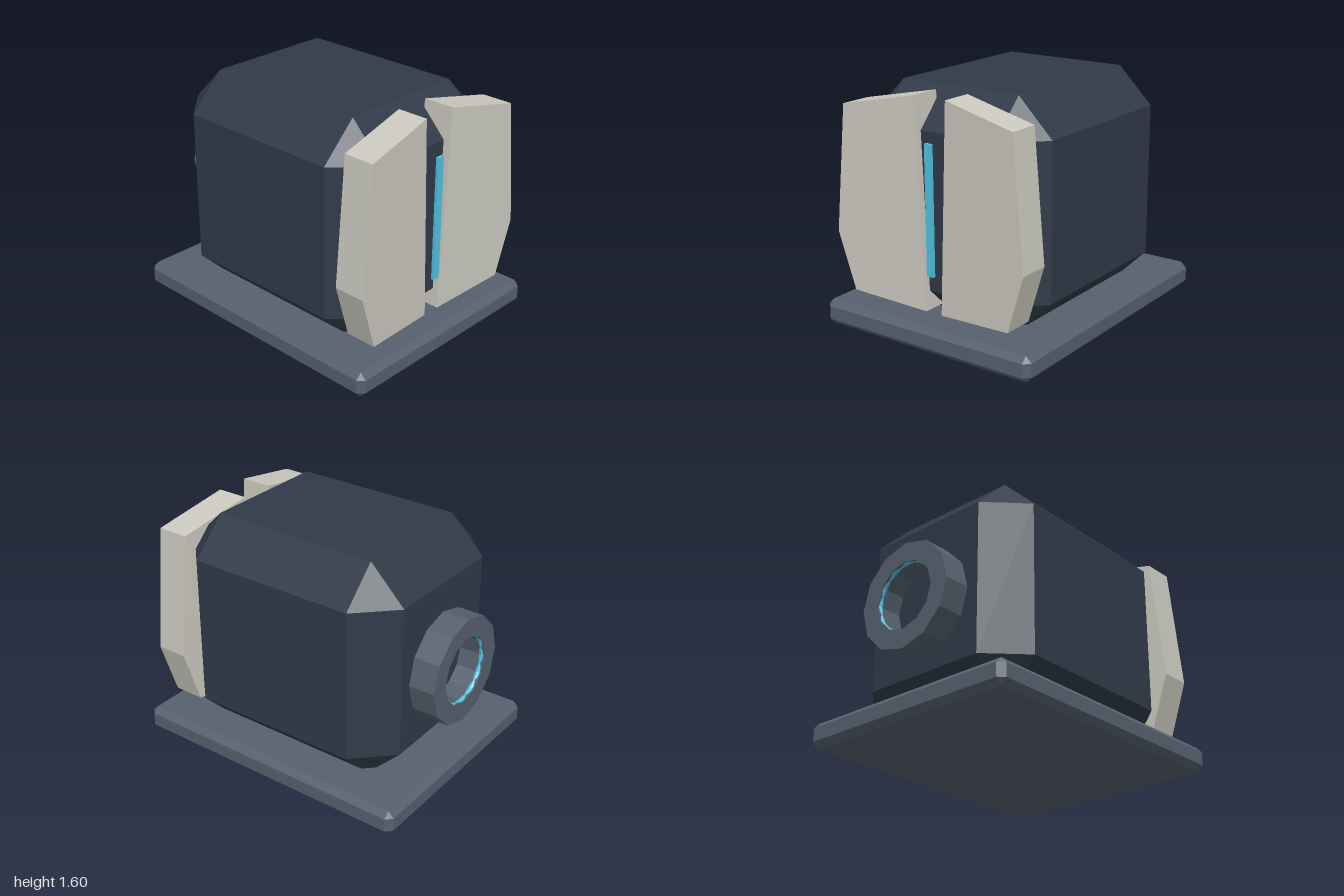
import * as THREE from 'three';
import { ConvexGeometry } from 'three/addons/geometries/ConvexGeometry.js';

const mat = (color) => new THREE.MeshStandardMaterial({ color, flatShading: true });

function addMesh(parent, name, geometry, material) {
  const mesh = new THREE.Mesh(geometry, material);
  mesh.name = name;
  parent.add(mesh);
  return mesh;
}

// Box with every edge cut at 45 degrees and triangular corners
function chamferBox(hx, hy, hz, c) {
  const points = [];
  for (const x of [-1, 1]) for (const y of [-1, 1]) for (const z of [-1, 1]) {
    points.push(
      new THREE.Vector3(x * hx, y * (hy - c), z * (hz - c)),
      new THREE.Vector3(x * (hx - c), y * hy, z * (hz - c)),
      new THREE.Vector3(x * (hx - c), y * (hy - c), z * hz)
    );
  }
  return new ConvexGeometry(points);
}

// Regular polygon with a corner on each axis
function polygon(radius, sides) {
  return Array.from({ length: sides }, (_, i) => {
    const a = (i / sides) * Math.PI * 2;
    return new THREE.Vector2(Math.cos(a) * radius, Math.sin(a) * radius);
  });
}

// Five-sided front plate, swept forward towards its outer edge
function plateGeometry(side) {
  const outline = [[0.12, 1.58], [0.06, 0.215], [0.6, 0.255], [0.72, 0.635], [0.64, 1.475]];
  const shape = new THREE.Shape(outline.map(([x, y]) => new THREE.Vector2(x * side, y)));
  const geometry = new THREE.ExtrudeGeometry(shape, { depth: 0.215, bevelEnabled: false });
  const p = geometry.attributes.position;
  for (let i = 0; i < p.count; i++) p.setZ(i, p.getZ(i) + 0.643 + 0.1 * Math.abs(p.getX(i)));
  geometry.computeVertexNormals();
  return geometry;
}

export function createModel() {
  const group = new THREE.Group();
  group.name = 'chamferedPod';
  const slate = mat(0x56616e);
  const navy = mat(0x303a48);
  const ivory = mat(0xcbc9bf);
  const cyan = mat(0x4fc3e0);

  // Base slab and main body
  addMesh(group, 'base', chamferBox(0.8, 0.085, 1, 0.04), slate).position.y = 0.085;
  addMesh(group, 'body', chamferBox(0.68, 0.75, 0.82, 0.24), navy).position.y = 0.85;

  // Mirrored front plates
  addMesh(group, 'leftPlate', plateGeometry(1), ivory);
  addMesh(group, 'rightPlate', plateGeometry(-1), ivory);

  // Light strip in the gap between the plates
  addMesh(group, 'lightStrip', new THREE.BoxGeometry(0.05, 0.84, 0.02), cyan).position.set(0, 0.885, 0.885);

  // Rear port collar with a thin lit ring set into its bore
  const collar = new THREE.Shape(polygon(0.36, 12));
  collar.holes.push(new THREE.Path(polygon(0.23, 12)));
  addMesh(group, 'rearCollar', new THREE.ExtrudeGeometry(collar, { depth: 0.2, bevelEnabled: false }), slate)
    .position.set(0, 0.8, -1);
  addMesh(group, 'rearLightRing', new THREE.TorusGeometry(0.24, 0.02, 8, 24), cyan)
    .position.set(0, 0.8, -0.975);

  return group;
}
